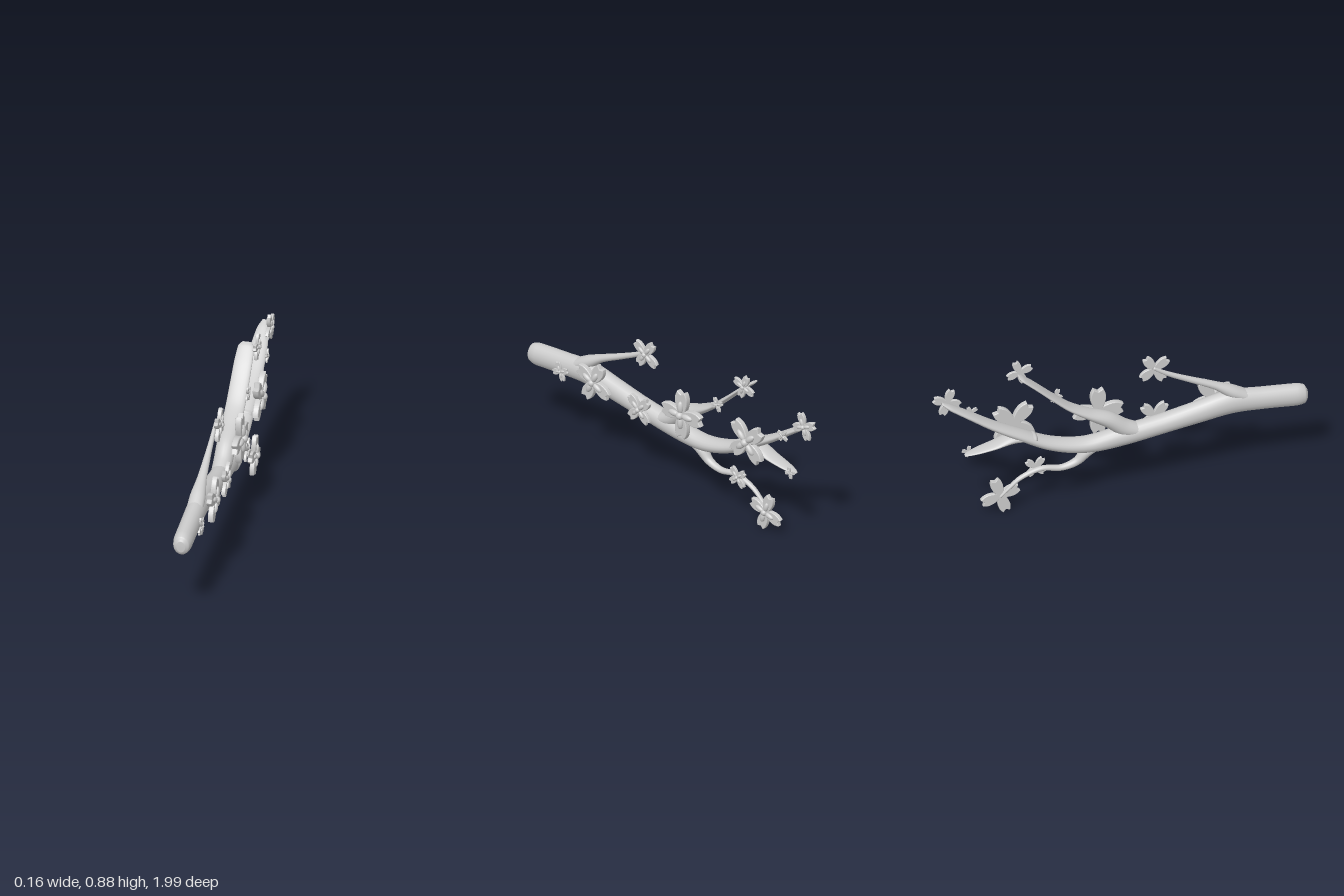
import * as THREE from 'three';

const material = new THREE.MeshStandardMaterial({ color: 0xcccccc, roughness: 0.8 });
const BRANCH_X = -0.03;

// Limb lofted from oval sections; stations are [z, y, half height, half width in x]
function limb(name, stations, segments = 56, sides = 20) {
  const path = new THREE.CatmullRomCurve3(stations.map(([z, y]) => new THREE.Vector3(0, y, z)), false, 'centripetal');
  const size = new THREE.CatmullRomCurve3(stations.map(([, , h, w]) => new THREE.Vector3(h, w, 0)), false, 'centripetal');
  const positions = [], index = [];
  for (let i = 0; i <= segments; i++) {
    const t = i / segments;
    const p = path.getPoint(t), d = path.getTangent(t), s = size.getPoint(t);
    for (let j = 0; j < sides; j++) {
      const a = (j / sides) * Math.PI * 2;
      const u = Math.cos(a) * s.x;
      positions.push(BRANCH_X + Math.sin(a) * s.y, p.y - d.z * u, p.z + d.y * u);
      if (i < segments) {
        const k = i * sides + j, n = i * sides + ((j + 1) % sides);
        index.push(k, n, k + sides, n, n + sides, k + sides);
      }
    }
  }
  // End caps
  const first = stations[0], last = stations[stations.length - 1];
  const c = positions.length / 3, e = segments * sides;
  positions.push(BRANCH_X, first[1], first[0], BRANCH_X, last[1], last[0]);
  for (let j = 0; j < sides; j++) {
    const n = (j + 1) % sides;
    index.push(c, n, j, c + 1, e + j, e + n);
  }
  const g = new THREE.BufferGeometry();
  g.setAttribute('position', new THREE.Float32BufferAttribute(positions, 3));
  g.setIndex(index);
  g.computeVertexNormals();
  const mesh = new THREE.Mesh(g, material);
  mesh.name = name;
  return mesh;
}

// Notched petal with a bevelled rim, pointing along +x, unit length
function petalGeometry() {
  const s = new THREE.Shape();
  s.moveTo(0, -0.1);
  s.bezierCurveTo(0.25, -0.18, 0.4, -0.27, 0.62, -0.27);
  s.quadraticCurveTo(0.8, -0.27, 0.95, -0.17);
  s.lineTo(0.84, 0);
  s.lineTo(0.95, 0.17);
  s.quadraticCurveTo(0.8, 0.27, 0.62, 0.27);
  s.bezierCurveTo(0.4, 0.27, 0.25, 0.18, 0, 0.1);
  return new THREE.ExtrudeGeometry(s, {
    depth: 0.14, bevelEnabled: true, bevelThickness: 0.05, bevelSize: 0.035, bevelSegments: 3, curveSegments: 8,
  }).translate(0, 0, 0.05);
}

const petal = petalGeometry();
const innerPetal = new THREE.SphereGeometry(1, 16, 10).scale(0.27, 0.13, 0.12).translate(0.33, 0, 0.24);
const heart = new THREE.SphereGeometry(0.16, 16, 10).translate(0, 0, 0.28);

// Four-petalled blossom facing +x; turn is the angle of its first petal
function blossom(z, y, x, radius, turn) {
  const flower = new THREE.Group();
  flower.name = 'blossom';
  const add = (geometry, name, angle) => {
    const m = new THREE.Mesh(geometry, material);
    m.name = name;
    m.rotation.z = angle;
    flower.add(m);
  };
  for (let i = 0; i < 4; i++) {
    const a = THREE.MathUtils.degToRad(turn) + (i * Math.PI) / 2;
    add(petal, 'petal', a);
    add(innerPetal, 'innerPetal', a);
  }
  add(heart, 'flowerCentre', 0);
  flower.rotation.y = Math.PI / 2;
  flower.position.set(x, y, z);
  flower.scale.setScalar(radius);
  return flower;
}

export function createModel() {
  const model = new THREE.Group();
  model.name = 'blossomBranch';

  model.add(
    limb('mainBranch', [
      [0.99, 0.447, 0.03, 0.022], [0.975, 0.447, 0.052, 0.042], [0.93, 0.45, 0.062, 0.05],
      [0.75, 0.462, 0.062, 0.051], [0.58, 0.468, 0.066, 0.052], [0.4, 0.435, 0.06, 0.052],
      [0.2, 0.397, 0.054, 0.052], [0, 0.365, 0.055, 0.052], [-0.2, 0.345, 0.042, 0.052],
      [-0.38, 0.385, 0.034, 0.052], [-0.55, 0.47, 0.027, 0.052], [-0.7, 0.555, 0.02, 0.05],
      [-0.82, 0.635, 0.016, 0.046], [-0.92, 0.7, 0.013, 0.032], [-0.96, 0.728, 0.006, 0.012],
    ], 90),
    limb('upperBranch', [
      [0.14, 0.37, 0.03, 0.045], [0.02, 0.41, 0.045, 0.05], [-0.07, 0.475, 0.042, 0.051],
      [-0.18, 0.53, 0.026, 0.051], [-0.28, 0.59, 0.016, 0.051], [-0.37, 0.665, 0.013, 0.05],
      [-0.47, 0.755, 0.011, 0.048], [-0.53, 0.805, 0.01, 0.042], [-0.55, 0.82, 0.005, 0.025],
    ]),
    limb('topTwig', [
      [0.72, 0.465, 0.03, 0.045], [0.6, 0.525, 0.035, 0.042], [0.5, 0.582, 0.021, 0.026],
      [0.36, 0.645, 0.016, 0.017], [0.25, 0.697, 0.013, 0.012], [0.17, 0.745, 0.008, 0.007],
    ]),
    limb('lowerTwig', [
      [-0.1, 0.345, 0.025, 0.04], [-0.18, 0.31, 0.03, 0.038], [-0.24, 0.25, 0.022, 0.024],
      [-0.32, 0.225, 0.017, 0.018], [-0.43, 0.238, 0.014, 0.016], [-0.54, 0.2, 0.012, 0.014],
      [-0.6, 0.15, 0.01, 0.012], [-0.65, 0.1, 0.006, 0.007],
    ]),
    limb('sideShoot', [
      [-0.46, 0.44, 0.02, 0.045], [-0.58, 0.455, 0.024, 0.048], [-0.68, 0.428, 0.014, 0.044],
      [-0.76, 0.41, 0.01, 0.036], [-0.82, 0.397, 0.006, 0.022], [-0.84, 0.393, 0.003, 0.008],
    ]),
  );

  // z, y, x, radius, turn in degrees
  const blossoms = [
    [0.74, 0.44, 0.014, 0.055, 20],
    [0.5, 0.47, 0.018, 0.118, 62],
    [0.19, 0.42, 0.018, 0.09, 45],
    [0.18, 0.73, -0.022, 0.088, 55],
    [-0.11, 0.5, 0.016, 0.135, 0],
    [-0.34, 0.635, 0.018, 0.042, 25],
    [-0.53, 0.81, 0.02, 0.07, 70],
    [-0.56, 0.505, 0.02, 0.13, 42],
    [-0.79, 0.615, 0.018, 0.037, 60],
    [-0.925, 0.71, -0.004, 0.078, 20],
    [-0.815, 0.395, -0.01, 0.034, 15],
    [-0.455, 0.24, -0.016, 0.064, 40],
    [-0.645, 0.105, -0.027, 0.105, 72],
  ];
  for (const b of blossoms) model.add(blossom(...b));
  return model;
}
